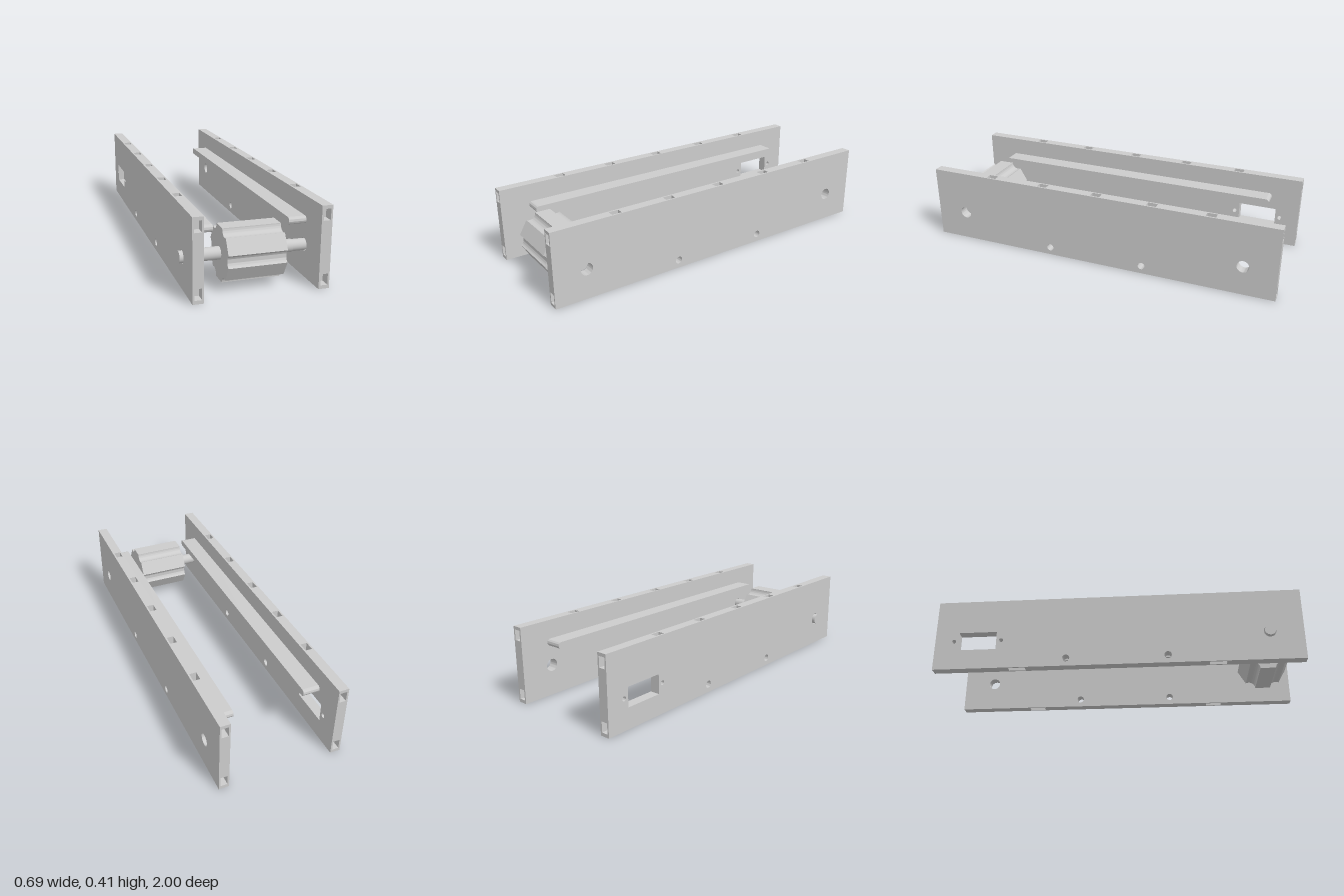
import * as THREE from 'three';
import { toCreasedNormals } from 'three/addons/utils/BufferGeometryUtils.js';

const material = new THREE.MeshStandardMaterial({ color: 0xcccccc });
const HEIGHT = 0.41;
const AXLE_Y = 0.164;
const AXLE_Z = 0.82;

function addMesh(parent, name, geometry) {
  const mesh = new THREE.Mesh(geometry, material);
  mesh.name = name;
  parent.add(mesh);
  return mesh;
}

// Extrudes a (-z, y) profile along x from x0 to x1
function slab(shape, x0, x1) {
  const geo = new THREE.ExtrudeGeometry(shape, { depth: x1 - x0, bevelEnabled: false, curveSegments: 20 });
  geo.rotateY(Math.PI / 2);
  geo.translate(x0, 0, 0);
  return toCreasedNormals(geo, 0.6);
}

function polygon(points) {
  return new THREE.Shape(points.map(([u, v]) => new THREE.Vector2(u, v)));
}

function roundHole(z, y, r) {
  const hole = new THREE.Path();
  hole.absarc(-z, y, r, 0, Math.PI * 2, true);
  return hole;
}

function rectHole(z0, z1, y0, y1) {
  return new THREE.Path([[-z0, y0], [-z0, y1], [-z1, y1], [-z1, y0]].map(([u, v]) => new THREE.Vector2(u, v)));
}

// Middle layer of a plate: a rectangle notched by the pockets in its four edges
function coreOutline() {
  const depth = 0.05;
  const sockets = [[0.018, 0.074], [0.337, 0.393]];
  const p = [[-1, 0]];
  for (const c of [-0.54, 0.54]) {
    p.push([c - 0.045, 0], [c - 0.045, 0.037], [c + 0.045, 0.037], [c + 0.045, 0]);
  }
  p.push([1, 0]);
  for (const [a, b] of sockets) p.push([1, a], [1 - depth, a], [1 - depth, b], [1, b]);
  p.push([1, HEIGHT]);
  for (let i = 2; i >= -2; i--) {
    const c = i * 0.318;
    p.push([c + 0.027, HEIGHT], [c + 0.027, HEIGHT - depth], [c - 0.027, HEIGHT - depth], [c - 0.027, HEIGHT]);
  }
  p.push([-1, HEIGHT]);
  for (const [a, b] of [...sockets].reverse()) p.push([-1, b], [-1 + depth, b], [-1 + depth, a], [-1, a]);
  return polygon(p);
}

// Side plate: pocketed core between two thin skins, all with the same through holes
function sidePlate(name, x0, holes) {
  const group = new THREE.Group();
  group.name = name;
  const fullOutline = () => polygon([[-1, 0], [1, 0], [1, HEIGHT], [-1, HEIGHT]]);
  const layers = [
    ['innerSkin', fullOutline(), 0, 0.009],
    ['pocketedCore', coreOutline(), 0.009, 0.045],
    ['outerSkin', fullOutline(), 0.045, 0.054],
  ];
  for (const [layer, shape, a, b] of layers) {
    shape.holes.push(...holes);
    addMesh(group, layer, slab(shape, x0 + a, x0 + b));
  }
  return group;
}

// Guide rail with rounded ends
function railGeometry(x0, x1) {
  const r = 0.0185, y = 0.2915, end = 0.84 - r;
  const shape = new THREE.Shape();
  shape.absarc(end, y, r, -Math.PI / 2, Math.PI / 2, false);
  shape.absarc(-end, y, r, Math.PI / 2, Math.PI * 1.5, false);
  return slab(shape, x0, x1);
}

// Hexagonal drum with a round groove in place of each corner
function drumGeometry() {
  const apothem = 0.134, grooveR = 0.035;
  const R = apothem / Math.cos(Math.PI / 6);
  const shape = new THREE.Shape();
  for (let i = 0; i < 6; i++) {
    const a = i * Math.PI / 3;
    shape.absarc(R * Math.cos(a), R * Math.sin(a), grooveR, a - Math.PI * 2 / 3, a - Math.PI * 4 / 3, true);
  }
  shape.closePath();
  return slab(shape, -0.145, 0.145).translate(0, AXLE_Y, AXLE_Z);
}

function rod(x0, x1, r) {
  return new THREE.CylinderGeometry(r, r, x1 - x0, 40)
    .rotateZ(Math.PI / 2)
    .translate((x0 + x1) / 2, AXLE_Y, AXLE_Z);
}

export function createModel() {
  const model = new THREE.Group();
  model.name = 'rollerFrame';

  // Plates: axle hole, two lower bolt holes, then a shaft hole or a motor window
  const common = [roundHole(AXLE_Z, AXLE_Y, 0.033), roundHole(0.275, 0.045, 0.02), roundHole(-0.273, 0.045, 0.02)];
  model.add(sidePlate('leftPlate', 0.288, [...common, roundHole(-AXLE_Z, AXLE_Y, 0.033)]));
  model.add(sidePlate('rightPlate', -0.327, [
    ...common,
    rectHole(-0.87, -0.66, 0.112, 0.216),
    roundHole(-0.896, AXLE_Y, 0.012),
    roundHole(-0.634, AXLE_Y, 0.012),
  ]));

  // Rails on the inner faces
  addMesh(model, 'leftRail', railGeometry(0.198, 0.288));
  addMesh(model, 'rightRail', railGeometry(-0.273, -0.182));

  // Roller, hubs and axle
  addMesh(model, 'drum', drumGeometry());
  addMesh(model, 'rightHub', rod(-0.245, -0.145, 0.032));
  addMesh(model, 'leftHub', rod(0.145, 0.218, 0.032));
  addMesh(model, 'axle', rod(-0.345, 0.29, 0.0295));

  return model;
}
